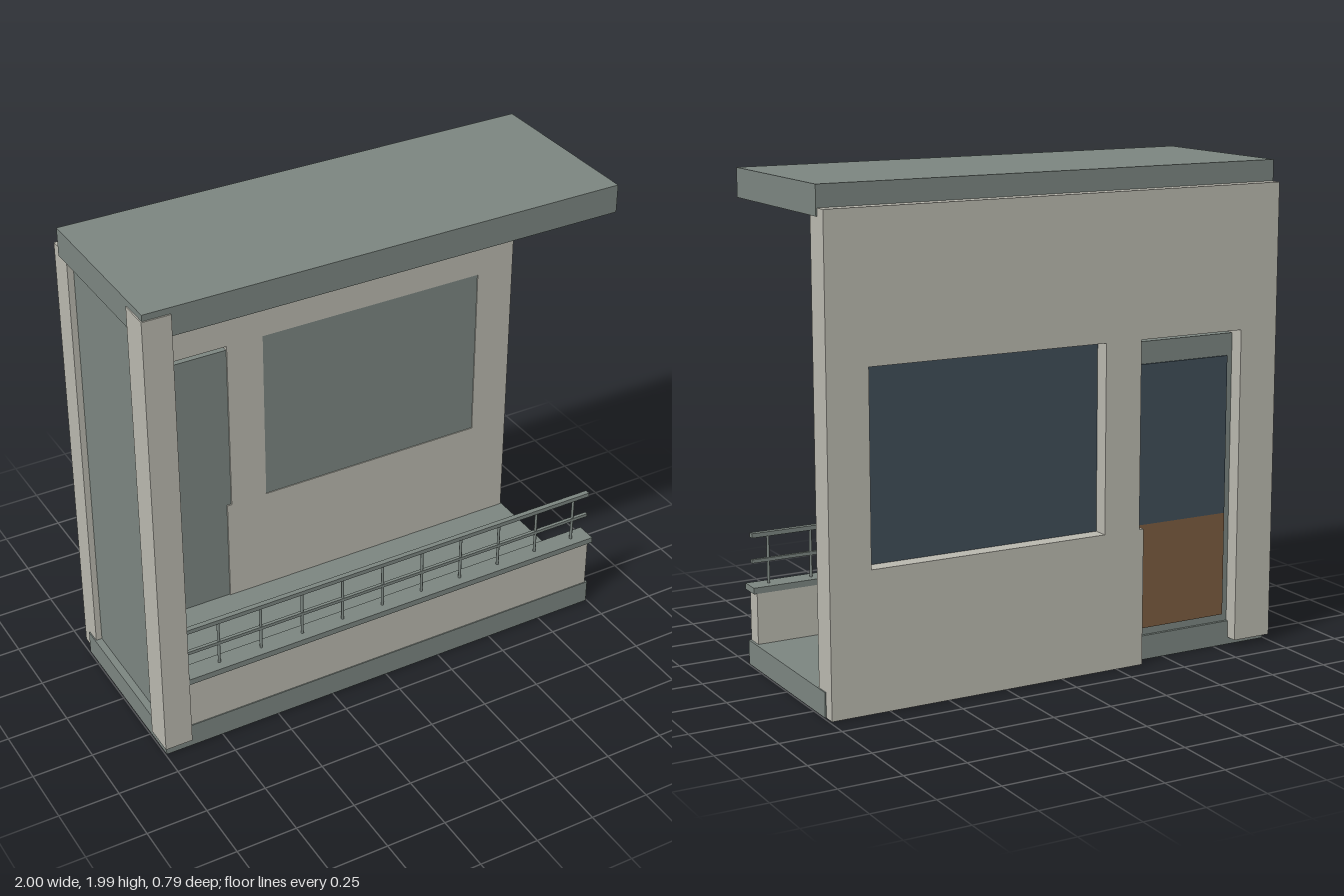
import * as THREE from 'three';

const mat = (name, color) => Object.assign(new THREE.MeshStandardMaterial({ color }), { name });

export function createModel() {
  const plaster = mat('plaster', 0xb9b8ae);
  const concrete = mat('greyConcrete', 0x7b8580);
  const glass = mat('darkGlass', 0x3f4d57);
  const wood = mat('brownPanel', 0x7a5c40);

  const root = new THREE.Group();
  root.name = 'balcony';
  const group = (name) => {
    const g = new THREE.Group();
    g.name = name;
    root.add(g);
    return g;
  };
  // Box given by its min/max extents
  const box = (parent, name, m, [x0, x1], [y0, y1], [z0, z1]) => {
    const mesh = new THREE.Mesh(new THREE.BoxGeometry(x1 - x0, y1 - y0, z1 - z0), m);
    mesh.position.set((x0 + x1) / 2, (y0 + y1) / 2, (z0 + z1) / 2);
    mesh.name = name;
    parent.add(mesh);
  };

  // Floor and ceiling slabs
  box(root, 'floorSlab', concrete, [-0.995, 0.995], [0, 0.1], [-0.34, 0.39]);
  box(root, 'ceilingSlab', concrete, [-0.995, 0.995], [1.87, 1.985], [-0.34, 0.39]);

  // Back wall around the door and window openings
  const wall = group('backWall');
  const wz = [-0.39, -0.278];
  box(wall, 'upperWall', plaster, [-0.99, 0.99], [1.32, 1.9], wz);
  box(wall, 'lowerWall', plaster, [-0.37, 0.99], [0, 0.56], wz);
  box(wall, 'doorPier', plaster, [-0.99, -0.82], [0.03, 1.32], wz);
  box(wall, 'middlePier', plaster, [-0.35, -0.19], [0.56, 1.32], wz);
  box(wall, 'windowPier', plaster, [0.82, 0.99], [0.56, 1.32], wz);

  // Window: grey inner face, glass on the back
  const win = group('window');
  box(win, 'windowPanel', concrete, [-0.19, 0.82], [0.56, 1.32], [-0.32, -0.282]);
  box(win, 'windowGlass', glass, [-0.19, 0.82], [0.56, 1.32], [-0.326, -0.32]);

  // Door with a small gap above, glass and a lower panel on the back
  const door = group('door');
  box(door, 'doorLeaf', concrete, [-0.82, -0.35], [0.1, 1.3], [-0.328, -0.284]);
  box(door, 'doorGlass', glass, [-0.795, -0.375], [0.56, 1.21], [-0.334, -0.328]);
  box(door, 'doorLowerPanel', wood, [-0.795, -0.375], [0.13, 0.56], [-0.334, -0.328]);

  // Side partition and front column
  box(root, 'sidePartition', concrete, [-0.965, -0.925], [0.1, 1.87], [-0.28, 0.275]);
  box(root, 'frontColumn', plaster, [-1, -0.885], [0.03, 1.96], [0.27, 0.396]);

  // Parapet with cap
  box(root, 'parapet', plaster, [-0.885, 0.985], [0.1, 0.31], [0.315, 0.386]);
  box(root, 'parapetCap', concrete, [-0.885, 1], [0.31, 0.335], [0.31, 0.396]);

  // Railing
  const railing = group('railing');
  box(railing, 'topRail', concrete, [-0.885, 0.99], [0.53, 0.548], [0.343, 0.365]);
  box(railing, 'middleRail', concrete, [-0.885, 0.99], [0.426, 0.44], [0.347, 0.361]);
  const postGeo = new THREE.CylinderGeometry(0.006, 0.006, 0.2, 8);
  for (let i = 0; i < 10; i++) {
    const post = new THREE.Mesh(postGeo, concrete);
    post.name = 'railPost';
    post.position.set(-0.735 + i * 0.1837, 0.432, 0.354);
    railing.add(post);
  }

  // Ceiling lamp
  const lamp = group('ceilingLamp');
  box(lamp, 'lampBase', concrete, [-0.305, 0.305], [1.846, 1.87], [0.015, 0.075]);
  box(lamp, 'lampCover', concrete, [-0.28, 0.28], [1.83, 1.846], [0.025, 0.065]);

  return root;
}
